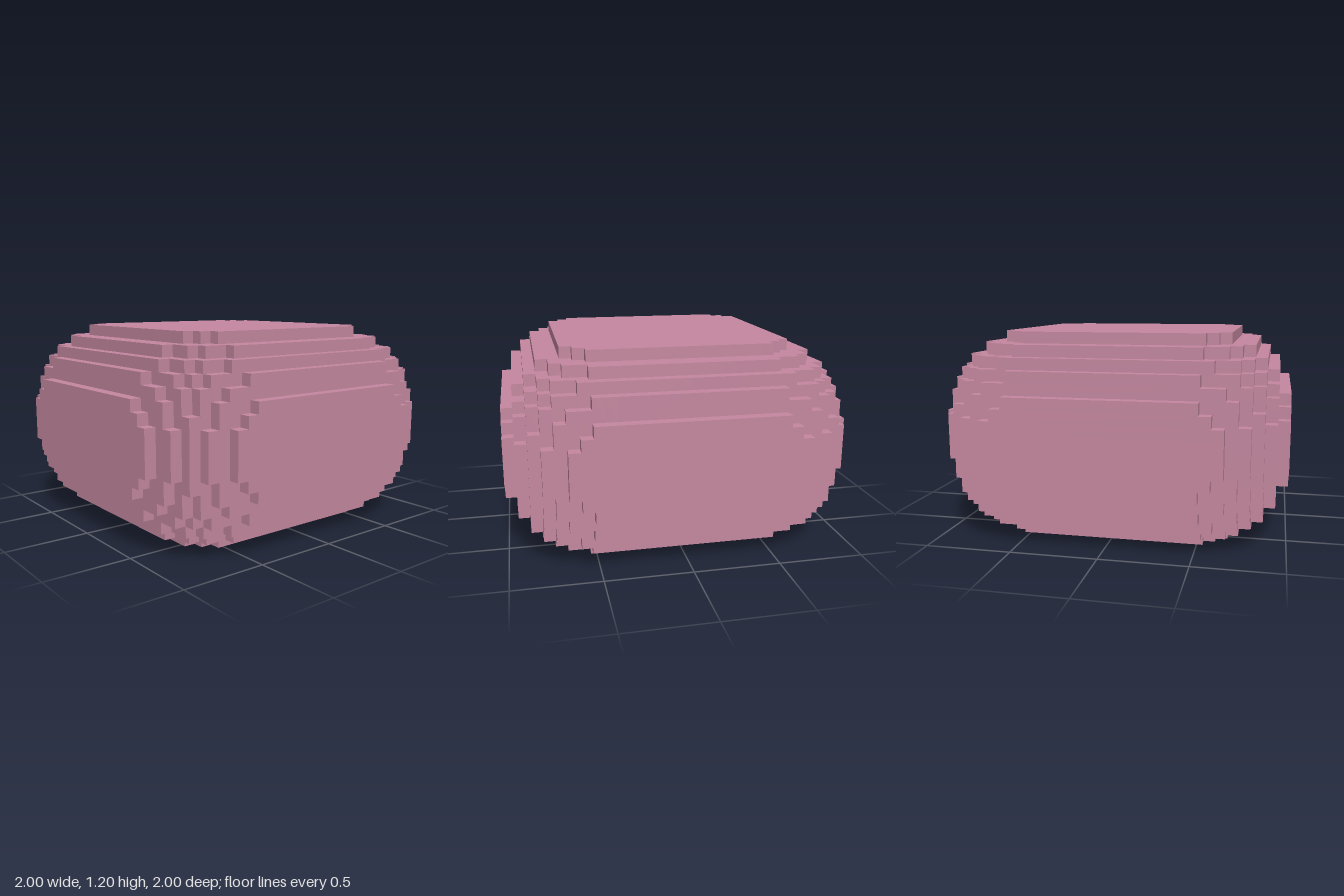
import * as THREE from 'three';

const CELL = 1 / 15;        // edge of one stepped block
const HALF = [15, 9, 15];   // half size in blocks
const RADIUS = 8;           // corner rounding in blocks

// A block is solid if its centre lies within a rounded box.
function solid(cell) {
  const sum = cell.reduce((total, c, i) => {
    const off = Math.max(0, Math.abs(c + 0.5) - (HALF[i] - RADIUS));
    return total + off * off;
  }, 0);
  return sum <= RADIUS * RADIUS;
}

// Outer skin of the blocks: exposed faces, merged into strips.
function steppedGeometry() {
  const positions = [];

  function addStrip(d, side, layer, row, start, end) {
    const u = (d + 1) % 3, v = (d + 2) % 3;
    const corner = (a, b) => {
      const p = [0, 0, 0];
      p[d] = side > 0 ? layer + 1 : layer;
      p[u] = a;
      p[v] = b;
      return [p[0] * CELL, (p[1] + HALF[1]) * CELL, p[2] * CELL];
    };
    const q = [corner(start, row), corner(end, row), corner(end, row + 1), corner(start, row + 1)];
    if (side < 0) q.reverse();
    for (const i of [0, 1, 2, 0, 2, 3]) positions.push(...q[i]);
  }

  for (let d = 0; d < 3; d++) {
    const u = (d + 1) % 3, v = (d + 2) % 3;
    for (const side of [-1, 1]) {
      const exposed = (layer, a, b) => {
        const cell = [0, 0, 0];
        cell[d] = layer;
        cell[u] = a;
        cell[v] = b;
        if (!solid(cell)) return false;
        cell[d] += side;
        return !solid(cell);
      };
      for (let layer = -HALF[d]; layer < HALF[d]; layer++) {
        for (let row = -HALF[v]; row < HALF[v]; row++) {
          let start = null;
          for (let a = -HALF[u]; a <= HALF[u]; a++) {
            const open = exposed(layer, a, row);
            if (open && start === null) start = a;
            if (!open && start !== null) {
              addStrip(d, side, layer, row, start, a);
              start = null;
            }
          }
        }
      }
    }
  }

  const geometry = new THREE.BufferGeometry();
  geometry.setAttribute('position', new THREE.Float32BufferAttribute(positions, 3));
  geometry.computeVertexNormals();
  return geometry;
}

export function createModel() {
  const group = new THREE.Group();
  group.name = 'steppedCushion';

  const pink = new THREE.MeshStandardMaterial({ color: 0xc4879f });
  pink.name = 'dusty pink';

  const body = new THREE.Mesh(steppedGeometry(), pink);
  body.name = 'body';
  group.add(body);
  return group;
}
